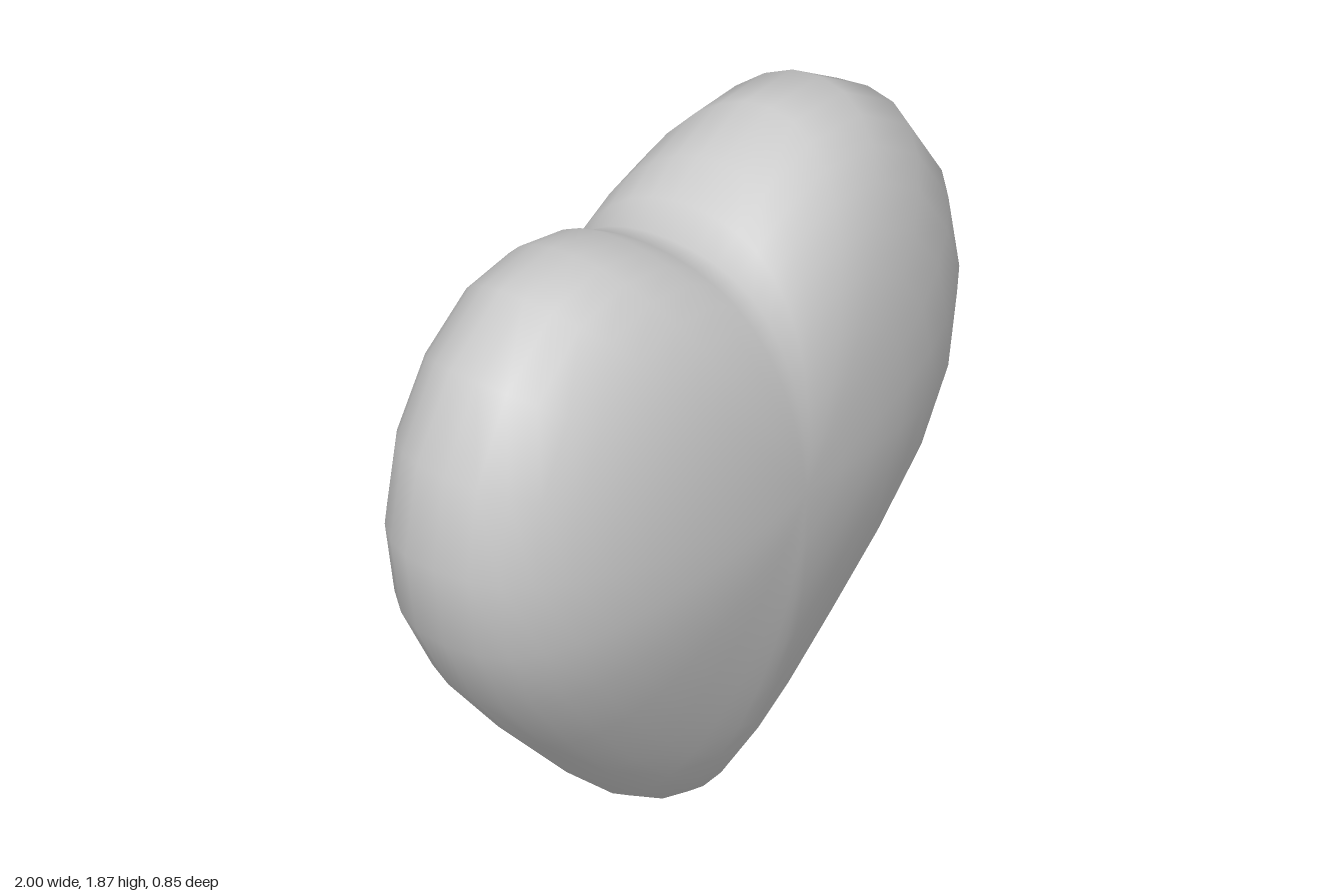
import * as THREE from 'three';
import { mergeVertices } from 'three/addons/utils/BufferGeometryUtils.js';

// Right half of the heart outline, from the bottom tip round to the cleft
const HALF = [
  [0, 0], [0.1, 0.035], [0.25, 0.13], [0.44, 0.3], [0.64, 0.51], [0.83, 0.74], [0.955, 0.975], [1, 1.23],
  [0.955, 1.49], [0.82, 1.71], [0.62, 1.85], [0.41, 1.87], [0.21, 1.81], [0.1, 1.735], [0, 1.69],
];
const CENTRE_Y = 1.1;
const DEPTH = 0.427;
const RINGS = 20;

// Point on the surface along one outline spoke; t runs from the back pole to the front pole
function surfacePoint([ox, oy], t) {
  const r = Math.max(0, Math.cos(t));
  const dy = oy - CENTRE_Y;
  const s = dy / Math.hypot(ox, dy);
  // Full and round at the sides, leaner toward the tip and the lobes
  const p = 2.4 - (s < 0 ? 0.7 : 0.35) * s * s;
  const z = DEPTH * Math.pow(Math.max(0, 1 - Math.pow(r, p)), 1 / p);
  // The cleft fades out away from the rim
  const fill = dy > 0 ? 0.13 * (1 - r * r) * Math.exp(-((ox / 0.22) ** 2)) : 0;
  return [r * ox, CENTRE_Y + r * (dy + fill), t < 0 ? -z : z];
}

function heartGeometry() {
  const outline = [...HALF, ...HALF.slice(1, -1).reverse().map(([x, y]) => [-x, y])];
  const n = outline.length;
  const positions = [];
  const index = [];
  for (let j = 0; j <= RINGS; j++) {
    const t = (j / RINGS - 0.5) * Math.PI;
    for (const point of outline) positions.push(...surfacePoint(point, t));
  }
  for (let j = 0; j < RINGS; j++) {
    for (let i = 0; i < n; i++) {
      const a = j * n + i;
      const b = j * n + ((i + 1) % n);
      if (j > 0) index.push(a, b, b + n);
      if (j < RINGS - 1) index.push(a, b + n, a + n);
      else index.push(a, b, a + n); // closes onto the front pole
    }
  }
  const geometry = new THREE.BufferGeometry();
  geometry.setAttribute('position', new THREE.Float32BufferAttribute(positions, 3));
  geometry.setIndex(index);
  const merged = mergeVertices(geometry, 1e-4); // joins each pole into one vertex
  merged.computeVertexNormals();
  return merged;
}

export function createModel() {
  const group = new THREE.Group();
  const heart = new THREE.Mesh(heartGeometry(), new THREE.MeshStandardMaterial({ color: 0xcccccc }));
  heart.name = 'heart';
  group.add(heart);
  return group;
}
